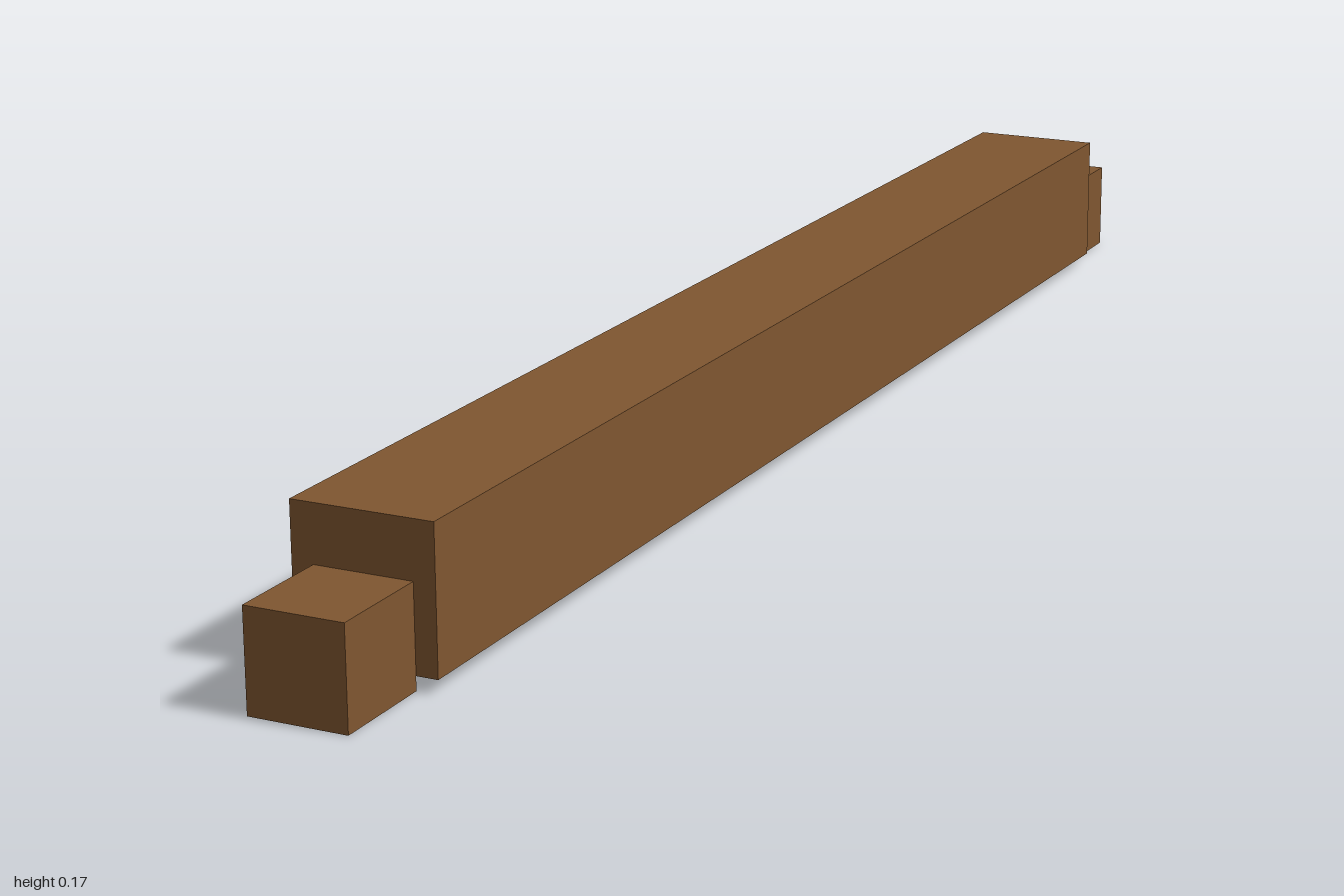
import * as THREE from 'three';

const WOOD = new THREE.MeshStandardMaterial({ color: 0x7f5630, flatShading: true });

// Box given by width, vertical range and z range, centred on x = 0
function block(name, width, y0, y1, z0, z1) {
  const mesh = new THREE.Mesh(new THREE.BoxGeometry(width, y1 - y0, z1 - z0), WOOD);
  mesh.position.set(0, (y0 + y1) / 2, (z0 + z1) / 2);
  mesh.name = name;
  return mesh;
}

export function createModel() {
  const model = new THREE.Group();
  model.name = 'woodenBeam';

  const beamEnd = 0.88;
  // Main square beam
  model.add(block('beam', 0.157, 0.015, 0.171, -beamEnd, beamEnd));
  // Smaller tenons at both ends, set slightly below the beam's underside
  model.add(block('frontTenon', 0.109, 0, 0.109, beamEnd, 1));
  model.add(block('backTenon', 0.109, 0, 0.109, -1, -beamEnd));

  return model;
}
